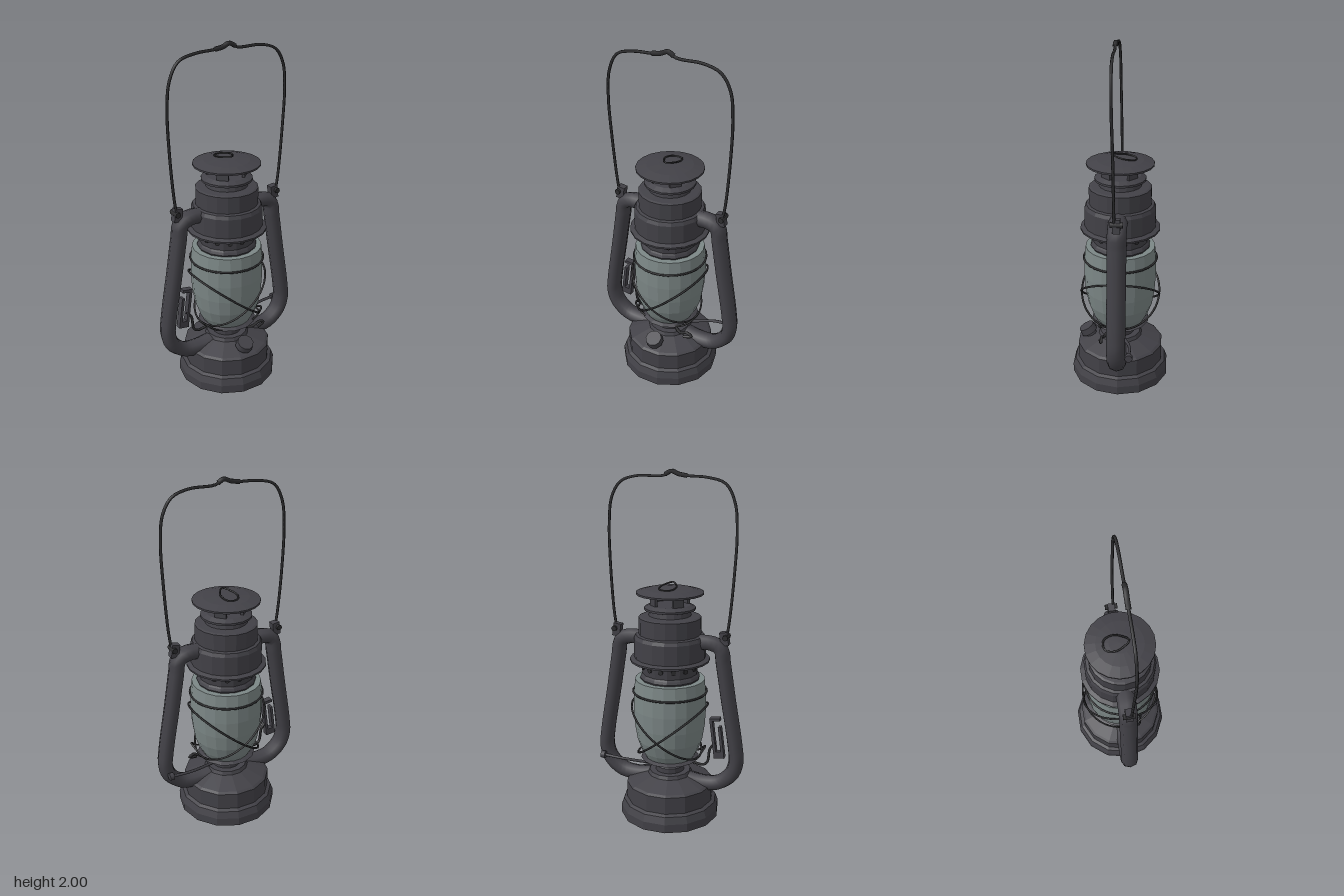
import * as THREE from 'three';

const metal = new THREE.MeshStandardMaterial({ color: 0x424147 });
metal.name = 'dark metal';
const glass = new THREE.MeshStandardMaterial({ color: 0x7c8786 });
glass.name = 'grey glass';
const wire = new THREE.MeshStandardMaterial({ color: 0x2d2d2f });
wire.name = 'black wire';

const SIDES = 14;
const v = (p) => new THREE.Vector3(p[0], p[1], p[2] || 0);

export function createModel() {
  const model = new THREE.Group();
  model.name = 'lantern';

  const add = (name, geometry, material, parent = model) => {
    const mesh = new THREE.Mesh(geometry, material);
    mesh.name = name;
    parent.add(mesh);
    return mesh;
  };
  // Faceted turned part; profile runs bottom to top as [radius, height]
  const turned = (name, profile, material = metal, sides = SIDES) => {
    const points = profile.map(([r, y]) => new THREE.Vector2(r, y));
    const g = new THREE.LatheGeometry(points, sides, Math.PI / sides).toNonIndexed();
    g.computeVertexNormals();
    return add(name, g, material);
  };
  const tube = (name, points, radius, material = wire, closed = false, segments = 48, sides = 6) =>
    add(name, new THREE.TubeGeometry(new THREE.CatmullRomCurve3(points.map(v), closed), segments, radius, sides, closed), material);
  const cylinder = (name, r1, r2, h, material = metal, sides = 10) =>
    add(name, new THREE.CylinderGeometry(r1, r2, h, sides), material);

  // Fuel tank and burner
  turned('fuelTank', [[0, 0], [0.29, 0], [0.29, 0.05], [0.275, 0.09], [0.255, 0.1], [0.255, 0.2],
    [0.24, 0.21], [0.13, 0.25], [0.12, 0.27], [0, 0.27]]);
  turned('burner', [[0, 0.26], [0.085, 0.26], [0.085, 0.3], [0.07, 0.31], [0.07, 0.335], [0.15, 0.342],
    [0.17, 0.35], [0.15, 0.36], [0, 0.362]]);

  // Tilted filler cap at the front of the tank
  const cap = new THREE.Group();
  cap.name = 'fillerCap';
  cap.position.set(0, 0.25, 0.19);
  cap.rotation.x = 0.5;
  add('fillerNeck', new THREE.CylinderGeometry(0.036, 0.036, 0.09, 10), metal, cap).position.y = -0.025;
  add('fillerLid', new THREE.CylinderGeometry(0.048, 0.052, 0.04, 10), metal, cap).position.y = 0.015;
  model.add(cap);

  // Glass globe
  turned('globe', [[0, 0.355], [0.14, 0.355], [0.165, 0.4], [0.19, 0.47], [0.204, 0.56], [0.21, 0.66],
    [0.208, 0.76], [0.2, 0.835], [0, 0.835]], glass, 20);

  // Perforated collar, hood and chimney
  turned('collar', [[0, 0.83], [0.165, 0.83], [0.172, 0.845], [0.165, 0.86], [0.158, 0.87], [0.165, 0.96], [0, 0.96]]);
  for (let i = 0; i < 14; i++) {
    const a = (i / 14) * Math.PI * 2;
    const hole = cylinder('ventHole', 0.014, 0.014, 0.008, wire, 8);
    hole.position.set(Math.sin(a) * 0.16, 0.912, Math.cos(a) * 0.16);
    hole.rotation.set(Math.PI / 2, 0, -a);
  }
  turned('hood', [[0, 0.945], [0.228, 0.945], [0.228, 0.955], [0.203, 0.965], [0.203, 1.075], [0.193, 1.095],
    [0.177, 1.1], [0.177, 1.195], [0.165, 1.2], [0.12, 1.205], [0.115, 1.23], [0.145, 1.238],
    [0.145, 1.25], [0.115, 1.265], [0, 1.265]], metal, 18);
  for (let i = 0; i < 4; i++) {
    const a = Math.PI / 4 + (i * Math.PI) / 2;
    const post = add('chimneyPost', new THREE.BoxGeometry(0.065, 0.065, 0.016), metal);
    post.position.set(Math.sin(a) * 0.1, 1.287, Math.cos(a) * 0.1);
    post.rotation.y = a;
  }
  turned('chimneyCap', [[0, 1.31], [0.12, 1.31], [0.19, 1.326], [0.19, 1.336], [0.13, 1.352], [0.06, 1.36], [0, 1.362]], metal, 20);
  // Teardrop lifting ring lying on the cap
  tube('capRing', [[0, 1.382, 0.05], [0.03, 1.375, 0.015], [0.046, 1.368, -0.03], [0.032, 1.36, -0.078],
    [0, 1.358, -0.09], [-0.032, 1.36, -0.078], [-0.046, 1.368, -0.03], [-0.03, 1.375, 0.015]], 0.005, wire, true, 32);

  // Side air tubes with handle ears, mirrored
  for (const s of [1, -1]) {
    const arm = tube('sideTube', [[0.14, 1.06], [0.25, 1.06], [0.297, 1.035], [0.313, 0.95], [0.345, 0.75], [0.393, 0.46],
      [0.4, 0.37], [0.375, 0.29], [0.3, 0.226], [0.2, 0.212], [0.1, 0.225]].map(([x, y]) => [s * x, y]),
      0.044, metal, false, 44, 8);
    arm.scale.z = 1.2;
    const ear = add('handleEar', new THREE.BoxGeometry(0.045, 0.075, 0.04), metal);
    ear.position.set(s * 0.318, 1.095, 0);
    ear.rotation.z = s * 0.15;
    const pivot = cylinder('handlePivot', 0.016, 0.016, 0.07, wire, 8);
    pivot.position.set(s * 0.328, 1.105, 0);
    pivot.rotation.x = Math.PI / 2;
    // Guard wire: a tilted hoop around the globe
    const hoop = [];
    for (let i = 0; i < 20; i++) {
      const a = (i / 20) * Math.PI * 2, c = Math.cos(a);
      hoop.push([s * (0.2 * c + 0.018), 0.53 + 0.155 * c, 0.23 * Math.sin(a)]);
    }
    tube('guardHoop', hoop, 0.006, wire, true, 60);
    // Lower end of the guard, hooked under the burner plate
    tube('guardHook', [[s * 0.18, 0.375, 0.03], [s * 0.19, 0.4, 0.09], [s * 0.14, 0.36, 0.11], [s * 0.06, 0.345, 0.13]], 0.006, wire, false, 16);
  }
  const guardRing = add('guardRing', new THREE.TorusGeometry(0.212, 0.006, 6, 28), wire);
  guardRing.rotation.x = Math.PI / 2;
  guardRing.position.y = 0.76;

  // Carrying handle with twisted grip
  tube('handle', [[-0.325, 1.09, 0.012], [-0.34, 1.2, 0.012], [-0.36, 1.45, 0.015], [-0.368, 1.68, 0.02], [-0.352, 1.83, 0.022],
    [-0.3, 1.925, 0.024], [-0.2, 1.955, 0.025], [-0.08, 1.963, 0.025], [0, 1.982, 0.025], [0.05, 1.96, 0.025],
    [0.2, 1.957, 0.025], [0.295, 1.925, 0.024], [0.348, 1.84, 0.022], [0.365, 1.7, 0.02], [0.362, 1.5, 0.015],
    [0.343, 1.2, 0.012], [0.327, 1.09, 0.012]], 0.008, wire, false, 90);
  tube('handleGrip', [[-0.09, 1.962, 0.025], [-0.04, 1.97, 0.025], [0, 1.985, 0.025], [0.035, 1.968, 0.025]], 0.013, wire, false, 12);

  // Lifting lever frame beside the left-hand tube
  const lever = new THREE.Group();
  lever.name = 'liftLever';
  lever.position.set(-0.285, 0.5, 0);
  lever.rotation.z = -0.13;
  const bar = (w, h, x, y) => add('leverBar', new THREE.BoxGeometry(w, h, 0.035), metal, lever).position.set(x, y, 0);
  bar(0.016, 0.24, 0.02, 0);
  bar(0.016, 0.18, -0.025, -0.02);
  bar(0.06, 0.018, -0.003, 0.115);
  bar(0.06, 0.04, -0.003, -0.1);
  model.add(lever);
  tube('leverRod', [[-0.28, 0.47], [-0.245, 0.43], [-0.228, 0.34], [-0.2, 0.322], [-0.12, 0.335], [-0.04, 0.35]], 0.008, wire, false, 24);

  // Wick adjuster: rod, thumb knob and small key
  tube('wickRod', [[0.06, 0.29, 0], [0.15, 0.3, -0.03], [0.27, 0.32, -0.068], [0.4, 0.33, -0.072]], 0.009, metal, false, 16);
  const knob = cylinder('wickKnob', 0.022, 0.022, 0.025);
  knob.position.set(0.395, 0.33, -0.072);
  knob.rotation.z = Math.PI / 2;
  tube('wickKey', [[0.06, 0.3, 0.06], [0.12, 0.285, 0.09], [0.17, 0.31, 0.1], [0.2, 0.295, 0.1], [0.15, 0.28, 0.11]], 0.009, wire, false, 20);

  return model;
}
